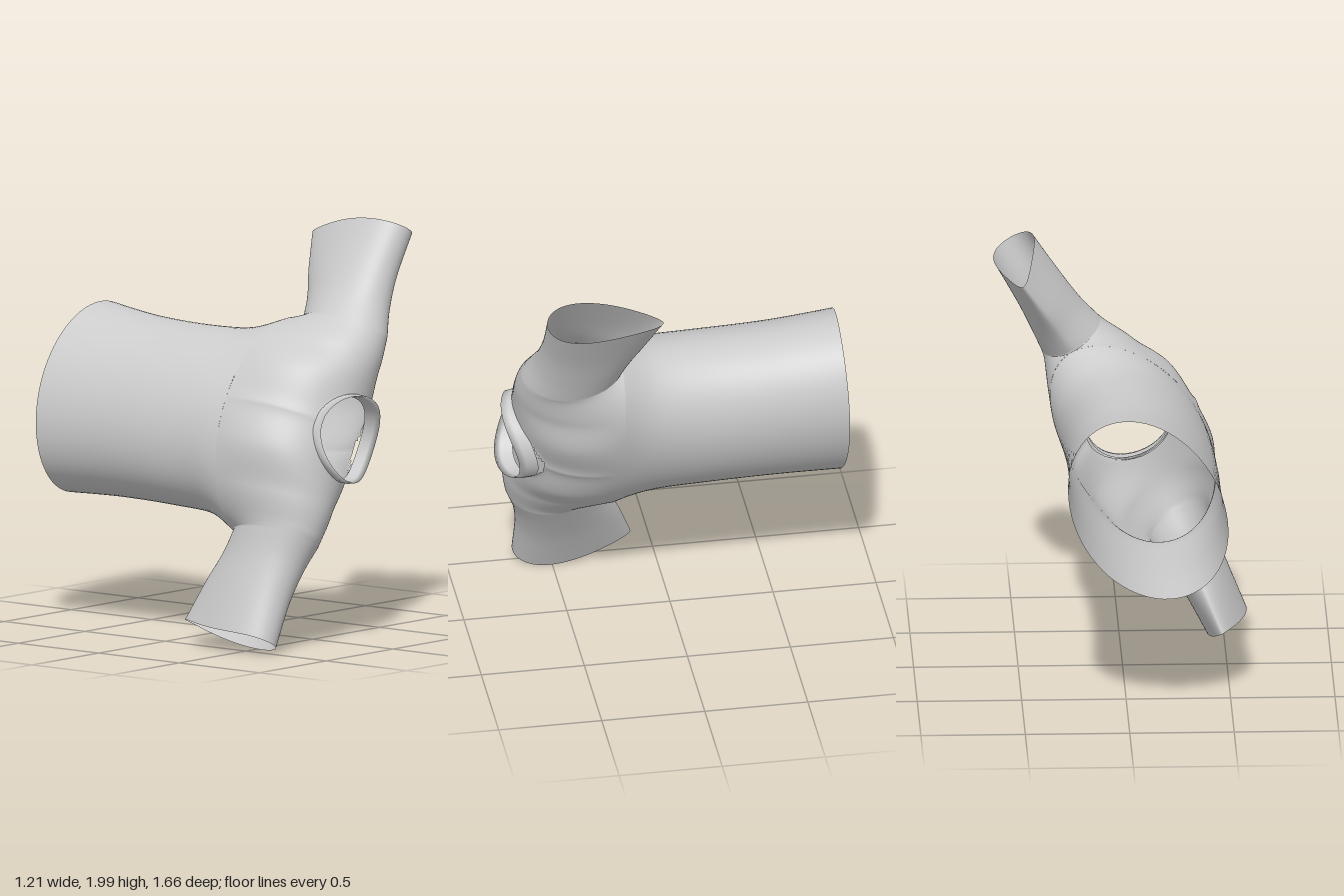
import * as THREE from 'three';
import { mergeVertices } from 'three/addons/utils/BufferGeometryUtils.js';

// Garment frame: u runs along the shoulders, n across chest to back, z from hem to neck.
const place = (n, u, z) => {
  const d = u + 0.875;
  return [0.88 * n + 0.475 * d, -0.475 * n + 0.88 * d, z];
};

// Smooth interpolation through rows of numbers.
function resample(rows, count) {
  const at = (i) => rows[Math.max(0, Math.min(rows.length - 1, i))];
  const out = [];
  for (let k = 0; k <= count; k++) {
    const s = (k / count) * (rows.length - 1);
    const i = Math.min(Math.floor(s), rows.length - 2), t = s - i;
    out.push(at(i).map((p1, c) => {
      const p0 = at(i - 1)[c], p2 = at(i + 1)[c], p3 = at(i + 2)[c];
      return p1 + 0.5 * t * (p2 - p0 + t * (2 * p0 - 5 * p1 + 4 * p2 - p3 + t * (3 * (p1 - p2) + p3 - p0)));
    }));
  }
  return out;
}

// Skin a row of cross-sections, t running from -1 to 1; skip leaves an opening.
function loft(name, rows, sides, point, skip = () => false) {
  const raw = rows.flatMap((r) =>
    Array.from({ length: sides + 1 }, (_, j) => point(r, (2 * j) / sides - 1)));
  const index = [];
  for (let i = 0; i < rows.length - 1; i++) {
    for (let j = 0; j < sides; j++) {
      const a = i * (sides + 1) + j, b = a + 1, c = a + sides + 1, d = c + 1;
      if ([a, b, c, d].every((q) => skip(raw[q]))) continue;
      index.push(a, c, b, b, c, d);
    }
  }
  let g = new THREE.BufferGeometry();
  g.setAttribute('position', new THREE.Float32BufferAttribute(raw.flatMap((p) => place(...p)), 3));
  g.setIndex(index);
  g = mergeVertices(g, 1e-5);
  g.computeVertexNormals();
  const mesh = new THREE.Mesh(g, new THREE.MeshStandardMaterial({ color: 0xcccccc, side: THREE.DoubleSide }));
  mesh.name = name;
  return mesh;
}

// Torso rings from hem to armpit: z, centre n, centre u, half width, half depth, bend, hem wave
const TORSO = [
  [-0.82, -0.588, 0.015, 0.475, 0.353, 0, 0.01],
  [-0.5, -0.58, 0, 0.45, 0.342, 0, 0],
  [-0.15, -0.574, -0.01, 0.448, 0.34, 0, 0],
  [0.1, -0.568, -0.005, 0.468, 0.338, 0.02, 0],
  [0.27, -0.56, 0, 0.55, 0.333, 0.05, 0],
];

// Shoulder sections from the middle to the armpit: u, centre n, lower z, upper z, half depth, taper
const YOKE = [
  [0, -0.56, 0.27, 0.765, 0.335, 0],
  [0.21, -0.553, 0.27, 0.768, 0.315, 0],
  [0.389, -0.535, 0.27, 0.773, 0.24, 0],
  [0.508, -0.517, 0.27, 0.758, 0.176, 0],
  [0.55, -0.51, 0.27, 0.746, 0.16, 0],
];

// Sleeve sections from the armpit to the cuff, same columns
const SLEEVE = [
  [0.55, -0.51, 0.27, 0.746, 0.16, 0],
  [0.68, -0.5, 0.235, 0.705, 0.138, 0.08],
  [0.85, -0.493, 0.175, 0.682, 0.12, 0.2],
  [1.075, -0.479, 0.11, 0.68, 0.105, 0.35],
];

// Collar band, outside then inside: z, radius
const COLLAR = [[0.7, 0.212], [0.755, 0.216], [0.79, 0.21], [0.76, 0.203], [0.7, 0.2]];
const NECK = { n: -0.515, u: -0.015, r: 0.206 };

// Arch over the shoulder that closes into a full loop at the armpit.
function shoulderPoint([u, n, lo, hi, depth, taper], t) {
  const foot = 0.333 * Math.sqrt(Math.max(0, 1 - (u / 0.55) ** 2));
  const end = Math.PI - Math.asin(Math.min(1, foot / depth));
  const rise = Math.max(0, (Math.cos(t * end) - Math.cos(end)) / (1 - Math.cos(end)));
  const p = [
    n + depth * (1 + taper * Math.cos(t * end)) * Math.sin(t * end),
    u - Math.sign(u) * 0.2 * taper * (1 - rise) ** 3,
    lo + (hi - lo) * rise ** 0.85,
  ];
  // Gather points inside the neck opening onto its rim
  const dn = p[0] - NECK.n, du = p[1] - NECK.u, r = Math.hypot(dn, du);
  if (p[2] > 0.5 && r > 0 && r < NECK.r) {
    p[0] = NECK.n + (dn * NECK.r) / r;
    p[1] = NECK.u + (du * NECK.r) / r;
  }
  return p;
}

export function createModel() {
  const shirt = new THREE.Group();
  shirt.name = 'shirt';

  // Torso tube, open at the hem
  shirt.add(loft('torso', resample(TORSO, 48), 72, ([z, n, u, a, b, bend, wave], t) => {
    const c = Math.cos(t * Math.PI);
    return [n + b * Math.sin(t * Math.PI) + bend * c * c, u + a * c, z + wave * (2 * c * c - 1)];
  }));

  // Shoulders and both sleeves as one continuous skin with the neck cut out
  const half = [...resample(YOKE, 48), ...resample(SLEEVE, 24).slice(1)];
  const mirrored = half.slice(1).reverse().map(([u, ...rest]) => [-u, ...rest]);
  const inNeck = ([n, u, z]) => z > 0.5 && Math.hypot(n - NECK.n, u - NECK.u) < NECK.r + 1e-4;
  shirt.add(loft('shouldersAndSleeves', [...mirrored, ...half], 72, shoulderPoint, inNeck));

  // Collar rising toward both shoulders
  shirt.add(loft('collar', COLLAR, 40, ([z, r], t) => [
    NECK.n + r * Math.sin(t * Math.PI),
    NECK.u + r * Math.cos(t * Math.PI),
    z + 0.037 * Math.cos(2 * t * Math.PI),
  ]));

  return shirt;
}
